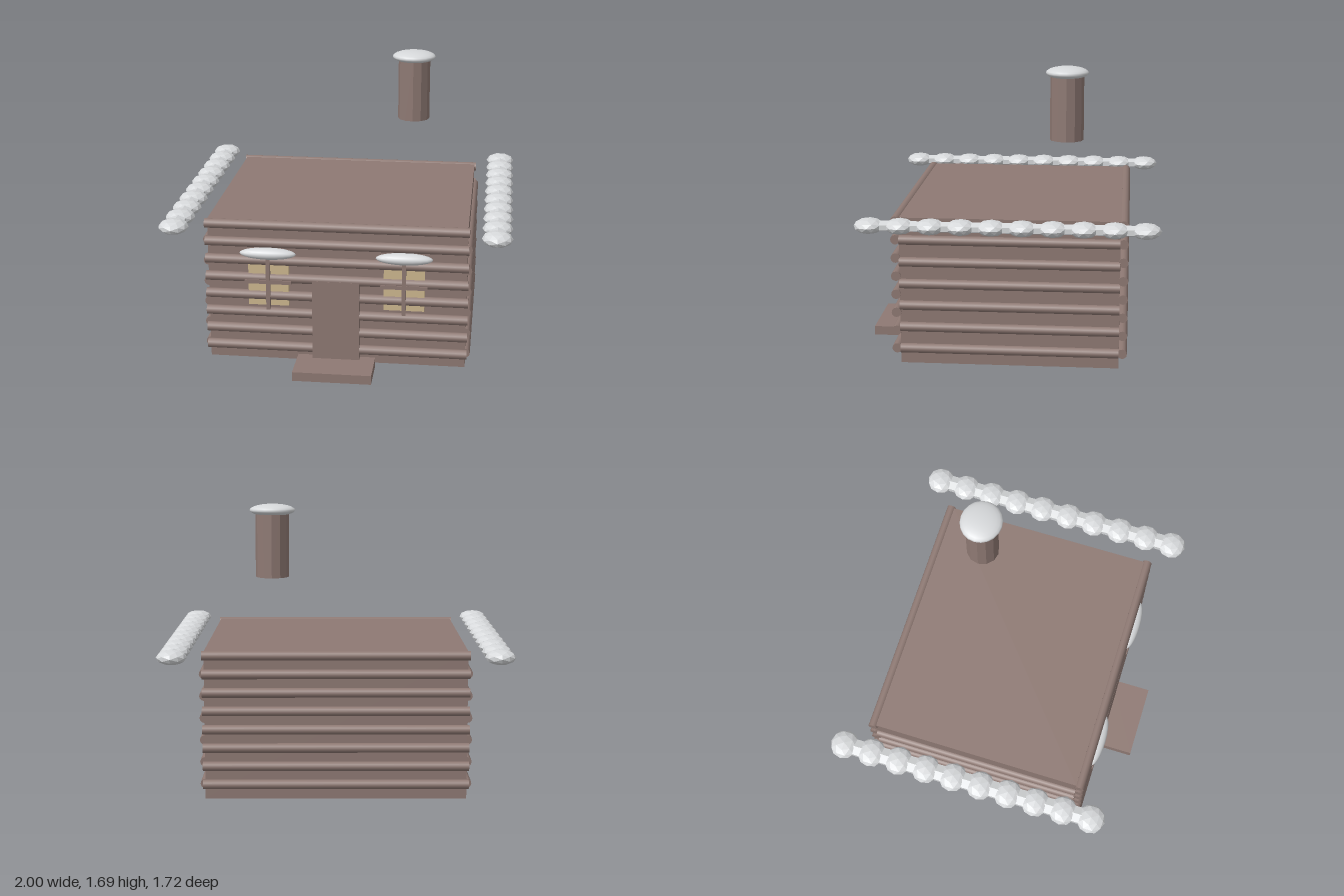
import * as THREE from 'three';

const mat = (name, color) => {
  const m = new THREE.MeshStandardMaterial({ color });
  m.name = name;
  return m;
};

// Facet a geometry by giving every triangle its own normals
function faceted(geo) {
  const g = geo.index ? geo.toNonIndexed() : geo;
  g.computeVertexNormals();
  return g;
}

export function createModel() {
  const model = new THREE.Group();
  model.name = 'logCabin';
  const wood = mat('wood brown', 0x8e7973);
  const snow = mat('snow white', 0xd6d8da);
  const glass = mat('window yellow', 0xcdb78f);

  const add = (name, geo, material, x, y, z, parent = model) => {
    const mesh = new THREE.Mesh(geo, material);
    mesh.name = name;
    mesh.position.set(x, y, z);
    parent.add(mesh);
    return mesh;
  };
  const box = (name, w, h, d, material, x, y, z, parent) =>
    add(name, new THREE.BoxGeometry(w, h, d), material, x, y, z, parent);

  // Cabin body, its flat top almost level with the highest logs
  box('cabinBody', 1.5, 0.858, 1.246, wood, 0, 0.449, -0.016);

  // Logs across the front and back walls
  const longLog = new THREE.CylinderGeometry(0.028, 0.028, 1.52, 12).rotateZ(Math.PI / 2);
  for (let i = 0; i < 8; i++) {
    const y = 0.109 + i * 0.107;
    add('frontLog', longLog, wood, 0, y, 0.628);
    add('backLog', longLog, wood, 0, y, -0.658);
  }

  // Logs along the side walls
  const sideLog = new THREE.CylinderGeometry(0.028, 0.028, 1.246, 12).rotateX(Math.PI / 2);
  for (let i = 0; i < 6; i++) {
    for (const s of [-1, 1]) add('sideLog', sideLog, wood, s * 0.75, 0.109 + i * 0.128, -0.016);
  }

  // Door and step
  box('door', 0.274, 0.515, 0.053, wood, 0, 0.2775, 0.63);
  box('doorStep', 0.455, 0.054, 0.25, wood, 0, 0.027, 0.735);

  // Windows with crossbars and a snow cap
  const snowCap = new THREE.SphereGeometry(1, 20, 12);
  for (const s of [-1, 1]) {
    const win = new THREE.Group();
    win.name = 'window';
    win.position.x = s * 0.393;
    model.add(win);
    box('windowPane', 0.235, 0.28, 0.03, glass, 0, 0.51, 0.622, win);
    box('verticalBar', 0.023, 0.31, 0.023, wood, 0, 0.505, 0.65, win);
    box('horizontalBar', 0.27, 0.022, 0.023, wood, 0, 0.52, 0.65, win);
    add('windowSnow', snowCap, snow, 0, 0.693, 0.65, win).scale.set(0.164, 0.034, 0.044);
  }

  // Lines of snow lumps hanging beside the eaves
  const lump = faceted(new THREE.IcosahedronGeometry(1, 1));
  const rail = faceted(new THREE.CylinderGeometry(1, 1, 1.53, 6).rotateX(Math.PI / 2));
  for (const s of [-1, 1]) {
    const row = new THREE.Group();
    row.name = 'eaveSnow';
    row.position.set(s * 0.914, 0.871, 0);
    model.add(row);
    add('snowRail', rail, snow, 0, 0, -0.02, row).scale.set(0.055, 0.03, 1);
    for (let i = 0; i < 10; i++) {
      add('snowLump', lump, snow, 0, 0, -0.778 + i * 0.169, row).scale.set(0.087, 0.043, 0.085);
    }
  }

  // Chimney with snow cap
  add('chimney', faceted(new THREE.CylinderGeometry(0.097, 0.097, 0.39, 12)), wood, 0.37, 1.462, -0.317);
  add('chimneySnow', snowCap, snow, 0.368, 1.655, -0.317).scale.set(0.132, 0.036, 0.123);

  return model;
}
